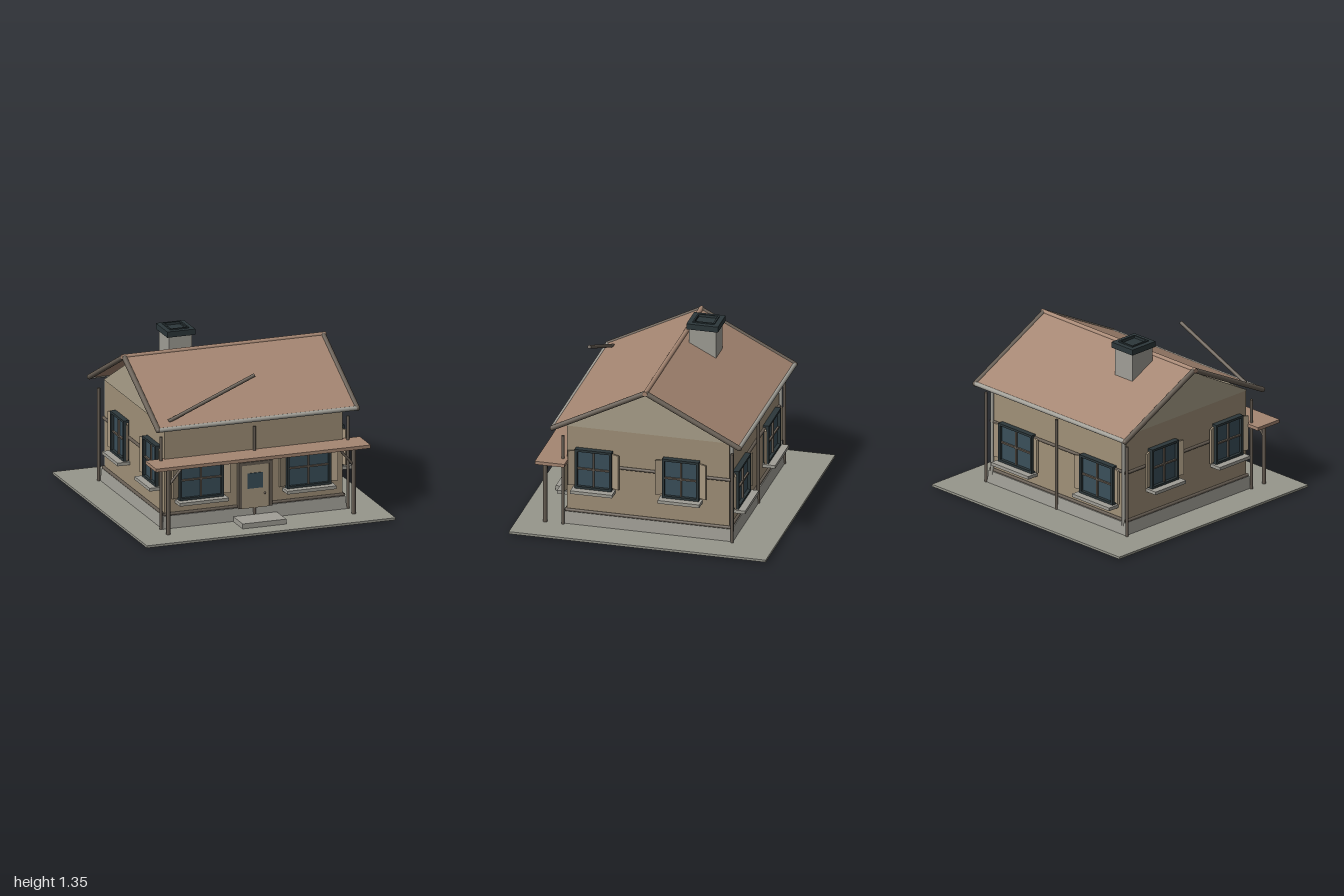
import * as THREE from 'three';

const mat = (color, extra = {}) => new THREE.MeshStandardMaterial({ color, ...extra });
const M = {
  wall: mat(0xa09078), gable: mat(0xaaa08a), roof: mat(0xa58672), timber: mat(0x655c52),
  stone: mat(0xa09e96), ground: mat(0x96968c), dark: mat(0x2c373a), glass: mat(0x3a4f5a), trim: mat(0xa89880),
};
const ZC = -0.01; // middle of the house in z

function add(parent, name, geometry, material, x = 0, y = 0, z = 0) {
  const mesh = new THREE.Mesh(geometry, material);
  mesh.name = name;
  mesh.position.set(x, y, z);
  parent.add(mesh);
  return mesh;
}

// box given by its limits
function box(parent, name, material, [x0, x1], [y0, y1], [z0, z1]) {
  return add(parent, name, new THREE.BoxGeometry(x1 - x0, y1 - y0, z1 - z0), material,
    (x0 + x1) / 2, (y0 + y1) / 2, (z0 + z1) / 2);
}

// round beam between two points
function beam(parent, name, material, a, b, r) {
  const p = new THREE.Vector3(...a), q = new THREE.Vector3(...b), d = q.clone().sub(p);
  const mesh = add(parent, name, new THREE.CylinderGeometry(r, r, d.length(), 16), material);
  mesh.position.copy(p).add(q).multiplyScalar(0.5);
  mesh.quaternion.setFromUnitVectors(new THREE.Vector3(0, 1, 0), d.normalize());
  return mesh;
}

// flat outline with corners, extruded along x; points are [z, y]
function extrudeX(points, width) {
  const shape = new THREE.Shape(points.map(([z, y]) => new THREE.Vector2(-z, y)));
  return new THREE.ExtrudeGeometry(shape, { depth: width, bevelEnabled: false })
    .translate(0, 0, -width / 2).rotateY(Math.PI / 2);
}

// rectangular ring facing +z
function ring(w, h, t, depth) {
  const rect = (P, a, b) => new P([[-a, -b], [a, -b], [a, b], [-a, b]].map(p => new THREE.Vector2(...p)));
  const shape = rect(THREE.Shape, w / 2, h / 2);
  shape.holes.push(rect(THREE.Path, w / 2 - t, h / 2 - t));
  return new THREE.ExtrudeGeometry(shape, { depth, bevelEnabled: false });
}

// window with glazing bars, sill and a pair of flared shutters
function makeWindow(w, h) {
  const g = new THREE.Group();
  g.name = 'window';
  add(g, 'windowFrame', ring(w, h, 0.018, 0.045), M.dark);
  box(g, 'glass', M.glass, [-w / 2 + 0.01, w / 2 - 0.01], [-h / 2 + 0.01, h / 2 - 0.01], [-0.01, 0.02]);
  box(g, 'verticalBar', M.timber, [-0.006, 0.006], [-h / 2 + 0.01, h / 2 - 0.01], [0.015, 0.035]);
  box(g, 'crossBar', M.timber, [-w / 2 + 0.01, w / 2 - 0.01], [-0.006, 0.006], [0.015, 0.035]);
  box(g, 'sill', M.stone, [-w / 2 - 0.02, w / 2 + 0.02], [-h / 2 - 0.025, -h / 2], [0, 0.1]);
  for (const s of [-1, 1]) {
    const shutter = add(g, 'shutter', new THREE.BoxGeometry(0.062, h - 0.04, 0.014), M.trim,
      s * (w / 2 + 0.028), 0, 0.025);
    shutter.rotation.y = -s * 0.4;
  }
  return g;
}

function makeHouse() {
  const g = new THREE.Group();
  g.name = 'house';
  // foundation, slightly wider at the bottom
  const base = new THREE.BoxGeometry(1.46, 0.1, 1.31), p = base.attributes.position;
  for (let i = 0; i < p.count; i++) {
    if (p.getY(i) < 0) p.setXYZ(i, p.getX(i) * 1.015, p.getY(i), p.getZ(i) * 1.015);
  }
  base.computeVertexNormals();
  add(g, 'foundation', base, M.stone, 0, 0.08, ZC);
  box(g, 'walls', M.wall, [-0.715, 0.715], [0.13, 0.83], [-0.64, 0.625]);
  add(g, 'gable', extrudeX([[0.635, 0.83], [ZC, 1.18], [-0.65, 0.83]], 1.44), M.gable);

  // timber frame
  for (const x of [-0.752, 0, 0.752]) {
    for (const z of [0.645, -0.672]) beam(g, 'framePost', M.timber, [x, 0.005, z], [x, 0.76, z], 0.012);
  }
  for (const y of [0.14, 0.53]) {
    for (const s of [-1, 1]) {
      beam(g, 'sideRail', M.timber, [s * 0.722, y, 0.635], [s * 0.722, y, -0.655], 0.012);
      const z = ZC + s * 0.64;
      beam(g, 'wallRail', M.timber, [-0.72, y, z], [0.72, y, z], 0.012);
    }
  }
  for (const s of [-1, 1]) beam(g, 'downpipe', M.stone, [s * 0.7, 0.1, -0.657], [s * 0.7, 0.83, -0.657], 0.014);

  // windows: front and back pairs, then the side pairs
  for (const s of [-1, 1]) {
    for (const x of [-0.432, 0.432]) {
      const w = makeWindow(0.355, 0.31);
      w.position.set(x, 0.4, s > 0 ? 0.625 : -0.64);
      if (s < 0) w.rotation.y = Math.PI;
      g.add(w);
    }
    for (const z of [0.41, -0.27]) {
      const w = makeWindow(0.285, 0.32);
      w.position.set(s * 0.715, 0.5, z);
      w.rotation.y = s * Math.PI / 2;
      g.add(w);
    }
  }
  return g;
}

function makeRoof() {
  const g = new THREE.Group();
  g.name = 'roof';
  const front = [0.715, 0.835], back = [-0.74, 0.835], top = [ZC, 1.205], t = 0.02;
  add(g, 'roofPanels', extrudeX([
    [front[0], front[1] - t / 2], [front[0], front[1] + t / 2], [top[0], top[1] + t / 2],
    [back[0], back[1] + t / 2], [back[0], back[1] - t / 2], [top[0], top[1] - t / 2],
  ], 1.6), M.roof);
  for (const [z, y] of [front, back]) {
    beam(g, 'gutter', M.stone, [-0.8, y, z], [0.8, y, z], 0.017);
    for (const s of [-1, 1]) {
      beam(g, 'bargeboard', M.timber, [s * 0.8, y, z], [s * 0.8, top[1], top[0]], 0.02);
      add(g, 'eaveEnd', new THREE.SphereGeometry(0.02, 16, 10), M.timber, s * 0.8, y, z);
    }
  }
  beam(g, 'ridge', M.roof, [-0.82, top[1], top[0]], [0.82, top[1], top[0]], 0.019);
  beam(g, 'leaningPole', M.timber, [-0.69, 0.875, 0.645], [0, 1.163, 0.645], 0.014);

  // chimney with a framed cap
  box(g, 'chimneyStack', mat(0xcccccc).clone(), [-0.415, -0.23], [0.95, 1.31], [-0.28, -0.07]).material = M.stone;
  const cap = add(g, 'chimneyCap', ring(0.225, 0.245, 0.045, 0.045), M.dark, -0.322, 1.3, -0.178);
  cap.rotation.x = -Math.PI / 2;
  box(g, 'flue', M.dark, [-0.385, -0.26], [1.3, 1.335], [-0.25, -0.105]);
  const rim = add(g, 'flueRim', ring(0.15, 0.17, 0.012, 0.012), M.dark, -0.322, 1.342, -0.178);
  rim.rotation.x = -Math.PI / 2;
  return g;
}

function makeEntrance() {
  const g = new THREE.Group();
  g.name = 'entrance';
  box(g, 'door', M.trim, [-0.112, 0.112], [0.125, 0.465], [0.62, 0.662]);
  for (const s of [-1, 1]) {
    const x = [s * 0.122 - 0.012, s * 0.122 + 0.012];
    box(g, 'doorJamb', M.timber, x, [0.13, 0.49], [0.62, 0.672]);
  }
  box(g, 'doorHead', M.timber, [-0.134, 0.134], [0.465, 0.49], [0.62, 0.672]);
  box(g, 'doorGlass', M.glass, [-0.063, 0.06], [0.28, 0.4], [0.65, 0.668]);
  add(g, 'doorKnob', new THREE.SphereGeometry(0.009, 12, 8), M.timber, 0.076, 0.235, 0.668);
  box(g, 'doorStep', M.stone, [-0.175, 0.175], [0.03, 0.072], [0.66, 0.858]);

  // porch canopy on braced posts
  box(g, 'canopy', M.roof, [-0.862, 0.862], [0.547, 0.573], [0.605, 0.835]);
  for (const s of [-1, 1]) {
    beam(g, 'porchPost', M.timber, [s * 0.745, 0.03, 0.785], [s * 0.745, 0.55, 0.785], 0.016);
    beam(g, 'porchBrace', M.timber, [s * 0.74, 0.42, 0.785], [s * 0.63, 0.55, 0.785], 0.01);
    beam(g, 'canopyBracket', M.timber, [s * 0.745, 0.53, 0.64], [s * 0.745, 0.53, 0.785], 0.01);
  }
  return g;
}

export function createModel() {
  const model = new THREE.Group();
  model.name = 'cottage';
  box(model, 'ground', M.ground, [-1, 1], [0.015, 0.033], [-1, 1]);
  model.add(makeHouse(), makeRoof(), makeEntrance());
  return model;
}
